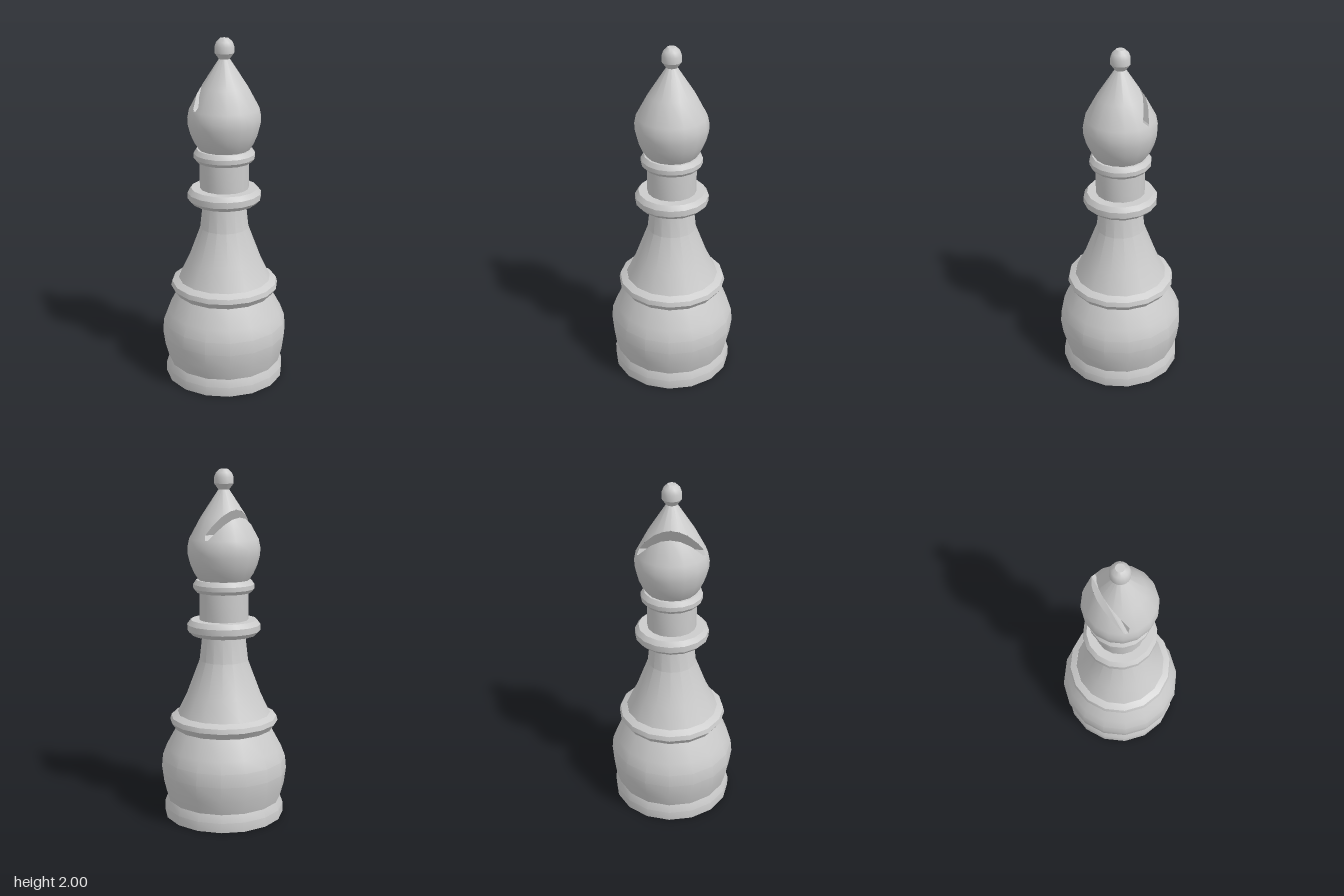
import * as THREE from 'three';
import { toCreasedNormals } from 'three/addons/utils/BufferGeometryUtils.js';

const SIDES = 16;
const material = new THREE.MeshStandardMaterial({ color: 0xcccccc });

// [radius, height] profiles, bottom to top
const PARTS = {
  base: [[0, 0], [0.35, 0], [0.35, 0.055], [0.333, 0.1], [0, 0.1]],
  body: [[0.333, 0.1], [0.355, 0.18], [0.367, 0.27], [0.36, 0.345], [0.335, 0.41], [0.27, 0.53]],
  bodyCollar: [[0.25, 0.525], [0.287, 0.525], [0.297, 0.54], [0.314, 0.563], [0.307, 0.59], [0.27, 0.61], [0.25, 0.61]],
  stem: [[0.27, 0.607], [0.215, 0.72], [0.14, 0.92], [0.122, 1.08]],
  stemCollar: [[0.1, 1.07], [0.185, 1.07], [0.21, 1.095], [0.21, 1.13], [0.19, 1.157], [0.1, 1.157]],
  neck: [[0.14, 1.15], [0.14, 1.325]],
  neckCollar: [[0.12, 1.315], [0.158, 1.315], [0.174, 1.335], [0.174, 1.36], [0.157, 1.385], [0.1, 1.385]],
  finial: [[0.028, 1.885], [0.054, 1.92], [0.054, 1.955], [0.045, 1.98], [0.024, 2], [0, 2]],
};
const HEAD = [[0.143, 1.383], [0.168, 1.42], [0.19, 1.47], [0.204, 1.525], [0.206, 1.565],
  [0.196, 1.615], [0.131, 1.735], [0.026, 1.895]];

// Slot outline in x, y, counter-clockwise; the last edge lies outside the head
const SLOT = [[-0.161, 1.806], [-0.074, 1.625], [-0.066, 1.618], [-0.05, 1.618], [-0.037, 1.645], [-0.124, 1.826]];

function turned(profile, crease = 0.45) {
  const points = profile.map(([r, y]) => new THREE.Vector2(r, y));
  return toCreasedNormals(new THREE.LatheGeometry(points, SIDES), crease);
}

// Half depth of the many-sided head at x, y
function headDepth(x, y) {
  const i = HEAD.findIndex((p, k) => k > 0 && y <= p[1]);
  if (i < 0) return 0;
  const [r0, y0] = HEAD[i - 1], [r1, y1] = HEAD[i];
  const r = r0 + (r1 - r0) * (y - y0) / (y1 - y0);
  const step = 2 * Math.PI / SIDES;
  for (let k = 0; k < SIDES / 4; k++) {
    const xa = r * Math.sin(k * step), xb = r * Math.sin((k + 1) * step);
    if (Math.abs(x) < xb) {
      const t = (Math.abs(x) - xa) / (xb - xa);
      return r * THREE.MathUtils.lerp(Math.cos(k * step), Math.cos((k + 1) * step), t);
    }
  }
  return 0;
}

// Split a convex polygon by a line in x, y: [outside part, inside part]
function split(polygon, a, b) {
  const side = (v) => (b[0] - a[0]) * (v[1] - a[1]) - (b[1] - a[1]) * (v[0] - a[0]);
  const outside = [], inside = [];
  polygon.forEach((v, i) => {
    const w = polygon[(i + 1) % polygon.length];
    const s = side(v), t = side(w);
    (s < 0 ? outside : inside).push(v);
    if ((s < 0) !== (t < 0)) {
      const cut = v.map((c, k) => c + (w[k] - c) * s / (s - t));
      outside.push(cut);
      inside.push(cut);
    }
  });
  return [outside, inside];
}

// Head shell with the slot cut away, plus the slot walls
function slottedHead() {
  const position = [], normal = [];
  const addPolygon = (polygon) => {
    for (let i = 1; i + 1 < polygon.length; i++) {
      for (const v of [polygon[0], polygon[i], polygon[i + 1]]) {
        position.push(...v.slice(0, 3));
        normal.push(...v.slice(3));
      }
    }
  };

  const shell = turned(HEAD, 0.6);
  const p = shell.attributes.position.array, n = shell.attributes.normal.array;
  for (let i = 0; i < p.length; i += 9) {
    let rest = [0, 3, 6].map((k) => [...p.slice(i + k, i + k + 3), ...n.slice(i + k, i + k + 3)]);
    SLOT.forEach((a, k) => {
      const [outside, inside] = split(rest, a, SLOT[(k + 1) % SLOT.length]);
      addPolygon(outside);
      rest = inside;
    });
  }

  // Walls run through the head from back to front
  for (let k = 0; k + 1 < SLOT.length; k++) {
    const [ax, ay] = SLOT[k], [bx, by] = SLOT[k + 1];
    const length = Math.hypot(bx - ax, by - ay);
    const facing = [(ay - by) / length, (bx - ax) / length, 0];
    const steps = Math.ceil(length / 0.006);
    const at = (i) => {
      const x = ax + (bx - ax) * i / steps, y = ay + (by - ay) * i / steps;
      return [x, y, headDepth(x, y)];
    };
    for (let i = 0; i < steps; i++) {
      const [x0, y0, h0] = at(i), [x1, y1, h1] = at(i + 1);
      if (h0 === 0 && h1 === 0) continue;
      addPolygon([[x0, y0, h0], [x1, y1, h1], [x1, y1, -h1], [x0, y0, -h0]].map((v) => [...v, ...facing]));
    }
  }

  const geometry = new THREE.BufferGeometry();
  geometry.setAttribute('position', new THREE.Float32BufferAttribute(position, 3));
  geometry.setAttribute('normal', new THREE.Float32BufferAttribute(normal, 3));
  return geometry;
}

export function createModel() {
  const model = new THREE.Group();
  model.name = 'chessBishop';
  const add = (name, geometry) => {
    const mesh = new THREE.Mesh(geometry, material);
    mesh.name = name;
    model.add(mesh);
  };
  for (const [name, profile] of Object.entries(PARTS)) {
    add(name, turned(profile, name === 'finial' ? 0.6 : 0.45));
  }
  add('slottedHead', slottedHead());
  return model;
}
